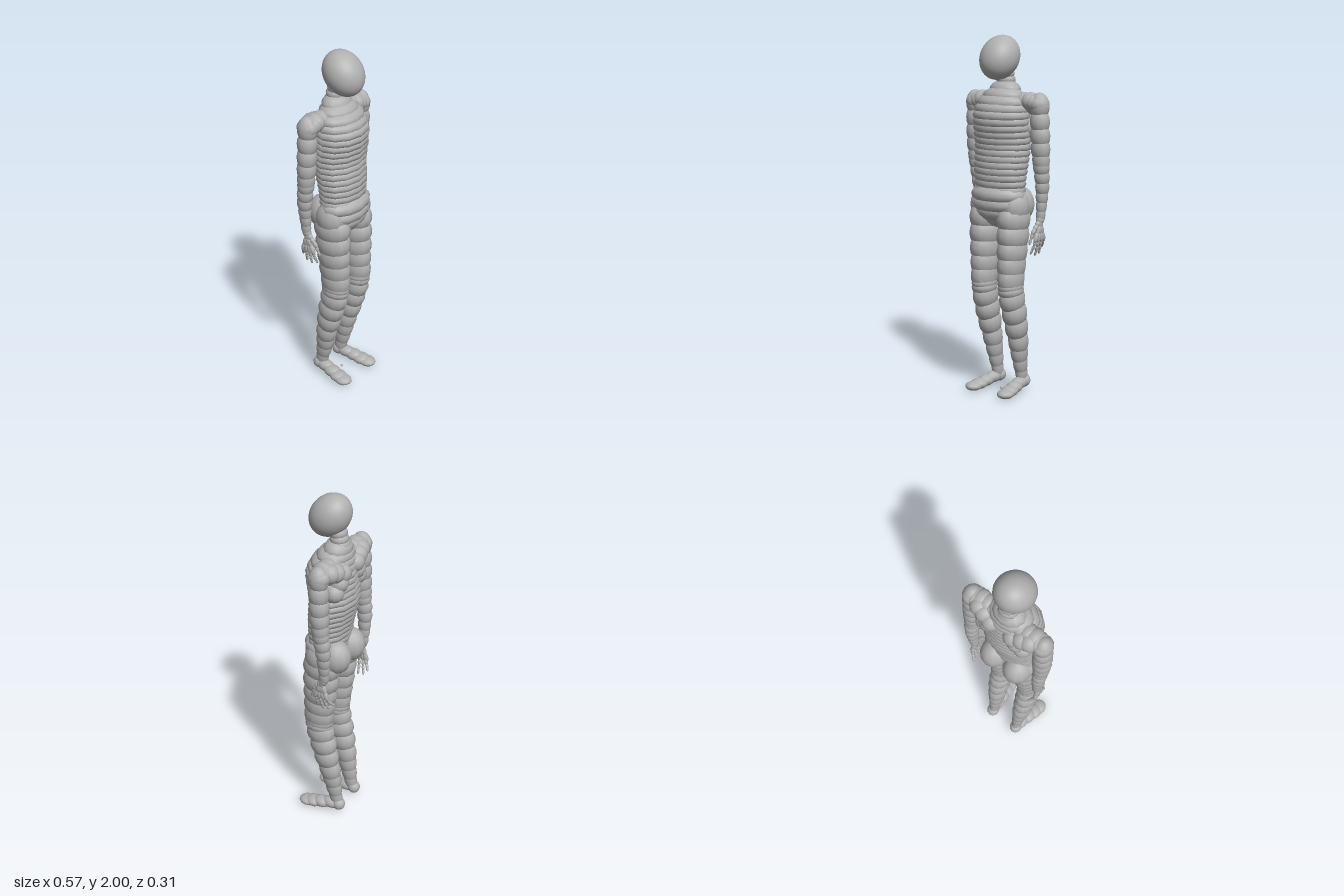
import * as THREE from 'three';

const grey = new THREE.MeshStandardMaterial({ color: 0xb0b0b0 });
grey.name = 'mannequin grey';

const UP = new THREE.Vector3(0, 1, 0);
const blobGeo = new THREE.SphereGeometry(1, 12, 10);

// one ellipsoid: centre, half-sizes, optional long axis
function blob(parent, name, [x, y, z], [rx, ry, rz], axis) {
  const m = new THREE.Mesh(blobGeo, grey);
  m.name = name;
  m.position.set(x, y, z);
  m.scale.set(rx, ry, rz);
  if (axis) m.quaternion.setFromUnitVectors(UP, axis);
  parent.add(m);
  return m;
}

// a run of overlapping ellipsoids through keys [x, y, z, rx, rz]
function chain(parent, name, keys, count, half, tilt = true) {
  const g = new THREE.Group();
  g.name = name;
  const at = (u) => {
    const f = Math.min(Math.max(u, 0), 1) * (keys.length - 1);
    const i = Math.min(Math.floor(f), keys.length - 2);
    return keys[i].map((v, k) => v + (keys[i + 1][k] - v) * (f - i));
  };
  for (let i = 0; i < count; i++) {
    const u = i / (count - 1), p = at(u);
    const a = at(u - 0.1), b = at(u + 0.1);
    const axis = new THREE.Vector3(a[0] - b[0], a[1] - b[1], a[2] - b[2]).normalize();
    blob(g, name + 'Segment', p, [p[3], half, p[4]], tilt ? axis : null);
  }
  parent.add(g);
  return g;
}

function addArm(root, s) {
  const arm = new THREE.Group();
  arm.name = s > 0 ? 'leftArm' : 'rightArm';
  chain(arm, 'collar', [[s * 0.09, 1.64, -0.045, 0.05, 0.055], [s * 0.17, 1.643, -0.045, 0.057, 0.057],
    [s * 0.225, 1.63, -0.05, 0.055, 0.06]], 5, 0.052, false);
  // shoulder blade lumps
  for (const [x, y, z, r] of [[0.07, 1.6, -0.095, 0.055], [0.12, 1.62, -0.085, 0.055],
    [0.16, 1.63, -0.075, 0.055], [0.09, 1.55, -0.09, 0.055], [0.12, 1.5, -0.08, 0.055]])
    blob(arm, 'shoulderBlade', [s * x, y, z], [r, r, r]);
  chain(arm, 'upperArm', [[s * 0.228, 1.62, -0.05, 0.053, 0.056], [s * 0.229, 1.51, -0.052, 0.055, 0.056],
    [s * 0.23, 1.41, -0.055, 0.056, 0.055], [s * 0.231, 1.33, -0.06, 0.048, 0.05]], 5, 0.075);
  chain(arm, 'forearm', [[s * 0.231, 1.29, -0.063, 0.045, 0.048], [s * 0.23, 1.2, -0.075, 0.039, 0.046],
    [s * 0.225, 1.11, -0.077, 0.031, 0.037], [s * 0.22, 1.03, -0.075, 0.025, 0.03]], 6, 0.058);
  blob(arm, 'wrist', [s * 0.219, 1.0, -0.07], [0.022, 0.03, 0.027]);

  // palm bones and fingers fan out along z
  const hand = new THREE.Group();
  hand.name = 'hand';
  const fingers = [[-0.03, -0.02, 0.815], [-0.05, -0.055, 0.802], [-0.07, -0.087, 0.808], [-0.088, -0.113, 0.838]];
  for (const [zk, zt, yt] of fingers) {
    chain(hand, 'palmBone', [[s * 0.222, 0.985, -0.065, 0.015, 0.015], [s * 0.224, 0.91, zk, 0.014, 0.014]], 3, 0.034);
    chain(hand, 'finger', [[s * 0.222, 0.9, zk, 0.01, 0.011], [s * 0.214, (0.9 + yt) / 2, (zk + zt) / 2, 0.009, 0.009],
      [s * 0.2, yt + 0.012, zt, 0.007, 0.007]], 4, 0.018);
  }
  chain(hand, 'thumb', [[s * 0.22, 0.98, -0.05, 0.015, 0.016], [s * 0.217, 0.94, -0.015, 0.012, 0.013],
    [s * 0.21, 0.89, 0.003, 0.008, 0.008]], 5, 0.022);
  arm.add(hand);
  root.add(arm);
}

function addLeg(root, s) {
  const leg = new THREE.Group();
  leg.name = s > 0 ? 'leftLeg' : 'rightLeg';
  blob(leg, 'buttock', [s * 0.078, 1.075, -0.065], [0.082, 0.1, 0.09]);
  blob(leg, 'hip', [s * 0.113, 1.07, 0.01], [0.072, 0.095, 0.09]);
  chain(leg, 'thigh', [[s * 0.097, 1.0, 0.01, 0.086, 0.112], [s * 0.098, 0.88, 0.017, 0.081, 0.107],
    [s * 0.096, 0.77, 0.024, 0.073, 0.099], [s * 0.096, 0.67, 0.03, 0.067, 0.092]], 5, 0.1);
  chain(leg, 'knee', [[s * 0.095, 0.65, 0.03, 0.064, 0.089], [s * 0.096, 0.6, 0.03, 0.065, 0.085]], 3, 0.05);
  chain(leg, 'shin', [[s * 0.097, 0.55, 0.02, 0.066, 0.086], [s * 0.098, 0.43, -0.008, 0.066, 0.079],
    [s * 0.094, 0.3, -0.038, 0.054, 0.065], [s * 0.09, 0.2, -0.056, 0.041, 0.053],
    [s * 0.088, 0.11, -0.073, 0.031, 0.041]], 7, 0.085);
  // foot slopes from the heel down to the toes
  blob(leg, 'heel', [s * 0.09, 0.057, -0.095], [0.037, 0.039, 0.038]);
  for (const [x, y, z, rx, ry, rz] of [[0.095, 0.053, -0.045, 0.038, 0.034, 0.06],
    [0.104, 0.043, 0.01, 0.043, 0.033, 0.055], [0.111, 0.034, 0.06, 0.048, 0.03, 0.055],
    [0.117, 0.028, 0.1, 0.047, 0.026, 0.053]])
    blob(leg, 'foot', [s * x, y, z], [rx, ry, rz]);
  root.add(leg);
}

export function createModel() {
  const root = new THREE.Group();
  root.name = 'mannequin';

  // egg-shaped head with the chin tipped forward
  const head = new THREE.Mesh(new THREE.SphereGeometry(1, 32, 24), grey);
  head.name = 'head';
  head.position.set(0, 1.878, 0.011);
  head.scale.set(0.108, 0.13, 0.106);
  head.rotation.x = -0.7;
  root.add(head);

  chain(root, 'neck', [[0, 1.79, -0.035, 0.052, 0.05], [0, 1.74, -0.045, 0.056, 0.052],
    [0, 1.7, -0.045, 0.068, 0.06]], 4, 0.04, false);

  // stacked rib-like discs
  chain(root, 'torso', [[0, 1.7, -0.035, 0.095, 0.075], [0, 1.64, -0.012, 0.152, 0.112],
    [0, 1.58, 0, 0.172, 0.135], [0, 1.52, -0.002, 0.174, 0.138], [0, 1.46, -0.01, 0.174, 0.134],
    [0, 1.4, -0.015, 0.173, 0.132], [0, 1.34, -0.007, 0.171, 0.127], [0, 1.28, 0.002, 0.168, 0.121],
    [0, 1.22, 0.008, 0.164, 0.114], [0, 1.16, 0.01, 0.162, 0.11]], 17, 0.058, false);

  chain(root, 'pelvis', [[0, 1.13, 0.022, 0.172, 0.118], [0, 1.08, 0.02, 0.178, 0.117],
    [0, 1.04, 0.012, 0.172, 0.112]], 3, 0.07, false);
  blob(root, 'crotch', [0, 1.03, 0.01], [0.085, 0.085, 0.095]);

  for (const s of [1, -1]) {
    addArm(root, s);
    addLeg(root, s);
  }

  // tiny marker ball on the floor between the feet
  blob(root, 'floorMarker', [0, 0.016, 0], [0.007, 0.007, 0.007]);
  return root;
}
